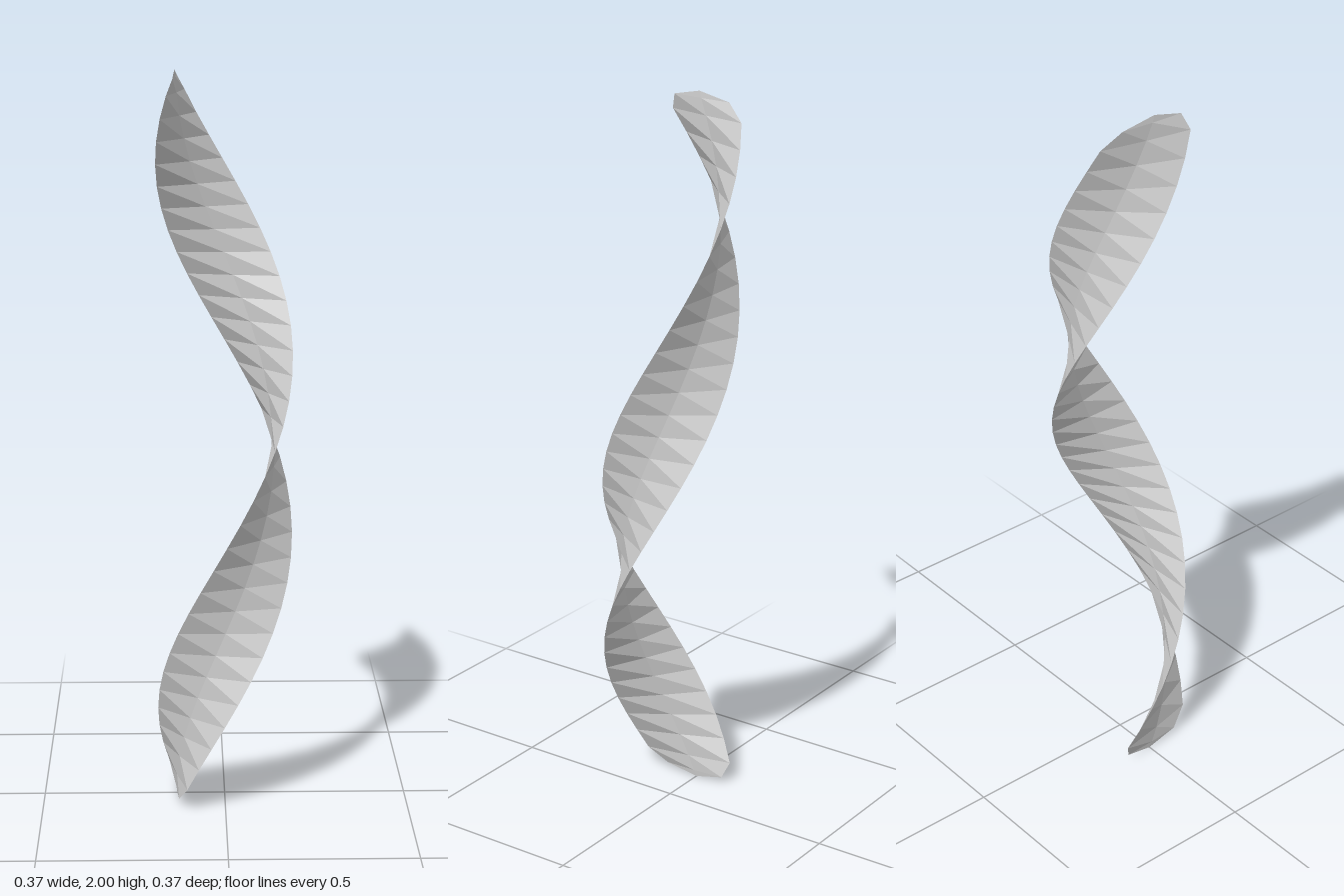
import * as THREE from 'three';

const HEIGHT = 2;        // overall height, one full turn
const RADIUS = 0.132;    // distance of the blade's centre line from the axis
const HALF_WIDTH = 0.128;
const HALF_THICK = 0.003;
const CAP = 0.062;       // height of each rounded end

export function createModel() {
  const group = new THREE.Group();

  // Four-sided capsule flattened into a thin blade with a central ridge
  const geometry = new THREE.CapsuleGeometry(CAP, HEIGHT - 2 * CAP, 2, 4, 30);
  geometry.scale(HALF_THICK / CAP, 1, HALF_WIDTH / CAP);
  geometry.translate(-RADIUS, HEIGHT / 2, 0);

  // Twist the offset blade once around the vertical axis
  const position = geometry.attributes.position;
  const up = new THREE.Vector3(0, 1, 0);
  const p = new THREE.Vector3();
  for (let i = 0; i < position.count; i++) {
    p.fromBufferAttribute(position, i);
    p.applyAxisAngle(up, (p.y / HEIGHT) * Math.PI * 2);
    position.setXYZ(i, p.x, p.y, p.z);
  }
  geometry.computeVertexNormals();

  const material = new THREE.MeshStandardMaterial({ color: 0xcccccc, flatShading: true });
  const blade = new THREE.Mesh(geometry, material);
  blade.name = 'twistedBlade';
  group.add(blade);
  return group;
}
